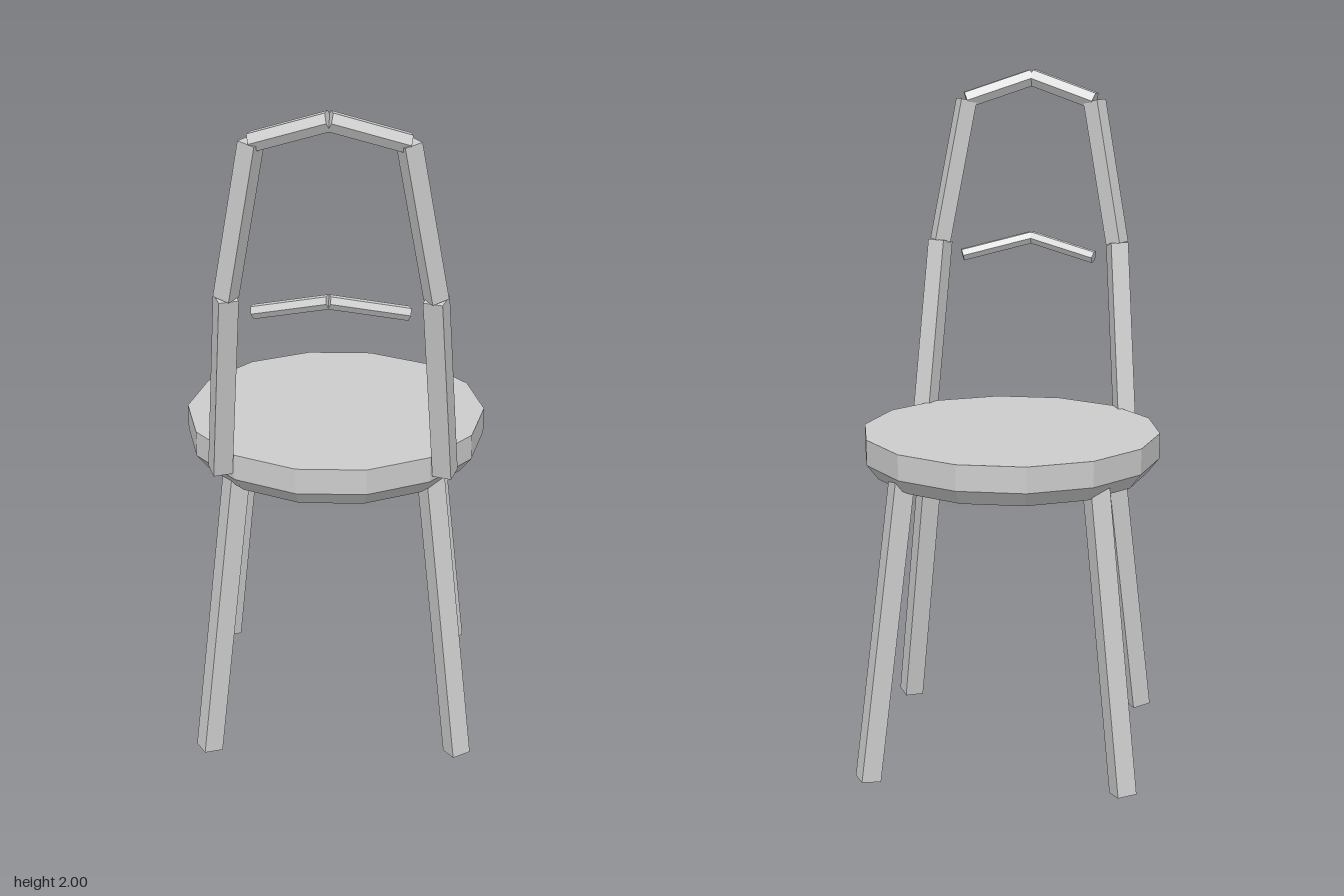
import * as THREE from 'three';

export function createModel() {
  const model = new THREE.Group();
  const grey = new THREE.MeshStandardMaterial({ color: 0xcccccc, flatShading: true });
  grey.name = 'light grey';

  const V = (x, y, z) => new THREE.Vector3(x, y, z);
  // Chair is turned: s runs sideways along the backrest, d runs towards the backrest
  const C = Math.cos(Math.PI / 6), S = 0.5;
  const at = (s, y, d) => V(-0.003 + C * s - S * d, y, -0.015 + S * s + C * d);

  function add(name, geometry) {
    const mesh = new THREE.Mesh(geometry, grey);
    mesh.name = name;
    model.add(mesh);
    return mesh;
  }

  // Place a bar whose length lies on local z between two points, kept level
  function span(name, geometry, a, b) {
    const bar = add(name, geometry);
    bar.position.copy(a).add(b).multiplyScalar(0.5);
    bar.lookAt(b);
  }
  const post = (name, a, b, w) =>
    span(name, new THREE.BoxGeometry(w, w, a.distanceTo(b)), a, b);
  const rod = (name, a, b, r) =>
    span(name, new THREE.CylinderGeometry(r, r, a.distanceTo(b), 6)
      .rotateY(Math.PI / 6).rotateX(Math.PI / 2), a, b);

  // Fourteen-sided seat with a chamfered underside
  const profile = [[0, 0.86], [0.402, 0.86], [0.437, 0.905], [0.437, 0.98], [0, 0.98]];
  const seat = add('seat', new THREE.LatheGeometry(
    profile.map(([r, y]) => new THREE.Vector2(r, y)), 14));
  seat.rotation.y = THREE.MathUtils.degToRad(-4.1 + 90);
  seat.position.set(-0.008, 0, -0.01);

  // Four splayed square legs
  for (const s of [-1, 1]) {
    for (const d of [-1, 1]) {
      const foot = at(s * 0.37, 0.004, d * 0.338);
      const top = at(s * 0.276, 0.88, d * 0.252);
      const axis = top.clone().sub(foot);
      const leg = add(d > 0 ? 'rearLeg' : 'frontLeg',
        new THREE.BoxGeometry(0.058, axis.length(), 0.058));
      leg.position.copy(foot).add(top).multiplyScalar(0.5);
      leg.quaternion.setFromUnitVectors(V(0, 1, 0), axis.normalize());
    }
  }

  // Backrest: two-piece posts, bent top rail and bent crossbar
  const railPeak = at(0, 1.972, 0.515);
  const barPeak = at(-0.004, 1.483, 0.474);
  for (const s of [-1, 1]) {
    const base = at(s * 0.314, 0.925, 0.328);
    const joint = at(s * 0.276, 1.475, 0.425);
    const top = at(s * 0.198, 1.905, 0.467);
    post('lowerPost', base, joint, 0.055);
    post('upperPost', joint, top, 0.05);
    rod('topRail', top, railPeak, 0.028);
    rod('crossbar', at(s * 0.205, 1.432, 0.417), barPeak, 0.02);
  }
  return model;
}
